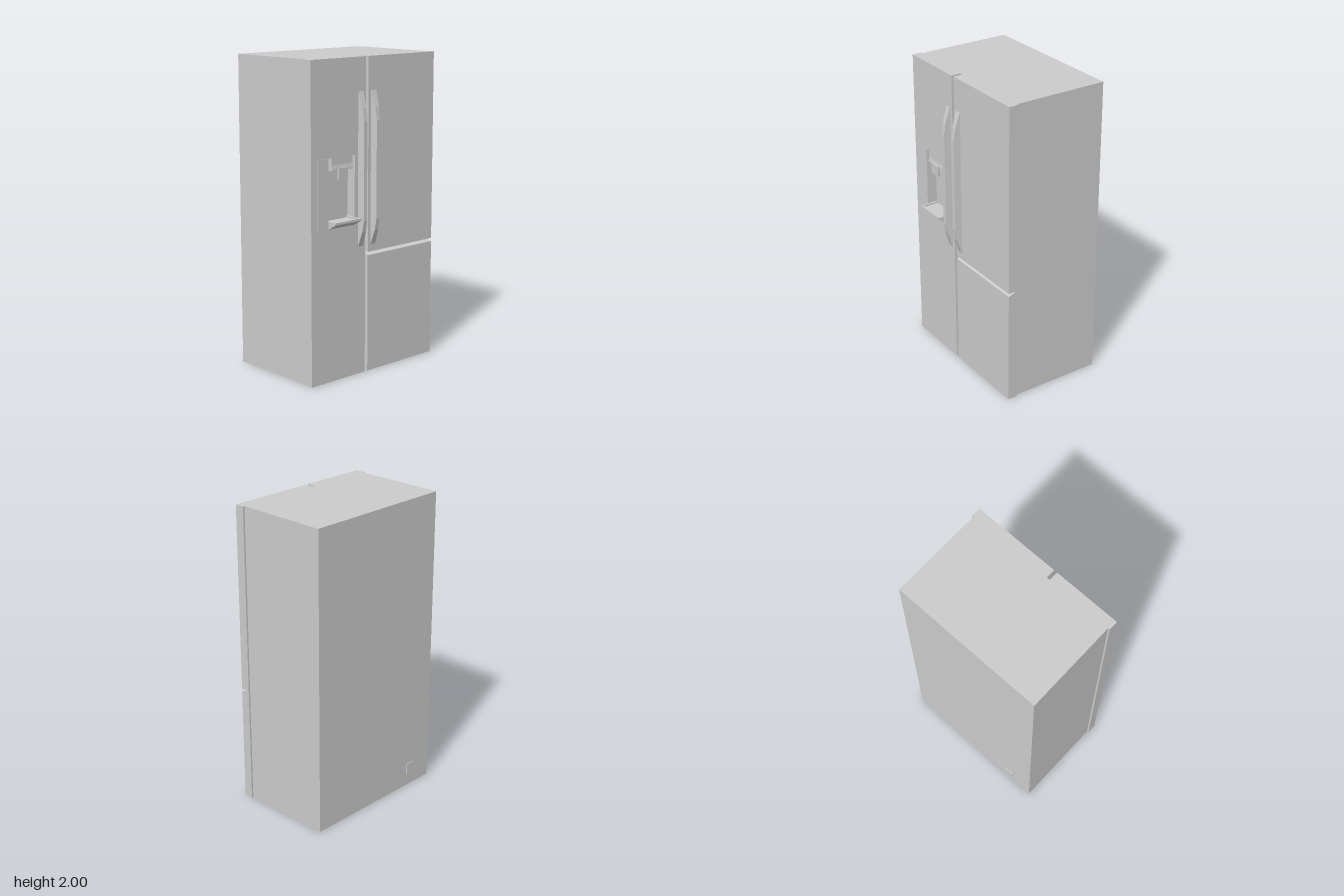
import * as THREE from 'three';

const FRONT = 0.313, SEAM = 0.25;

export function createModel() {
  const model = new THREE.Group();
  const grey = new THREE.MeshStandardMaterial({ color: 0xcccccc, flatShading: true });

  function add(name, geometry) {
    const mesh = new THREE.Mesh(geometry, grey);
    mesh.name = name;
    model.add(mesh);
    return mesh;
  }

  // Box given by its limits on each axis
  function box(name, x0, x1, y0, y1, z0, z1) {
    const g = new THREE.BoxGeometry(x1 - x0, y1 - y0, z1 - z0);
    g.translate((x0 + x1) / 2, (y0 + y1) / 2, (z0 + z1) / 2);
    return add(name, g);
  }

  const toPoints = (list) => list.map(([a, b]) => new THREE.Vector2(a, b));

  // Side profile of [z, y] points, swept from x0 to x1
  function sweepX(name, x0, x1, profile) {
    const g = new THREE.ExtrudeGeometry(new THREE.Shape(toPoints(profile)), { depth: x1 - x0, bevelEnabled: false });
    g.rotateY(-Math.PI / 2);
    g.translate(x1, 0, 0);
    return add(name, g);
  }

  // Cabinet and the small cover on its back
  box('cabinet', -0.518, 0.518, 0, 2, -0.372, SEAM);
  box('rearCover', -0.362, -0.302, 0.08, 0.16, -0.378, -0.372);

  // Tall door, with the dispenser opening cut through to the cabinet
  const door = new THREE.Shape(toPoints([[-0.53, 0], [-0.078, 0], [-0.078, 2], [-0.53, 2]]));
  door.holes.push(new THREE.Path(toPoints([
    [-0.39, 0.97], [-0.39, 1.405], [-0.365, 1.405], [-0.365, 1.325],
    [-0.19, 1.325], [-0.19, 1.405], [-0.17, 1.405], [-0.17, 0.97],
  ])));
  add('tallDoor', new THREE.ExtrudeGeometry(door, { depth: FRONT - SEAM, bevelEnabled: false }).translate(0, 0, SEAM));

  // Upper door, and lower door with a sloping finger groove along its top
  box('upperDoor', -0.055, 0.53, 0.778, 2, SEAM, FRONT);
  sweepX('lowerDoor', -0.055, 0.53, [[SEAM, 0], [FRONT, 0], [FRONT, 0.757], [0.268, 0.774], [0.268, 0.778], [SEAM, 0.778]]);

  // Dispenser: control panel, hood and paddle
  box('controlPanel', -0.482, -0.392, 0.97, 1.405, FRONT - 0.01, 0.317);
  sweepX('dispenserHood', -0.365, -0.19, [[0.3, 1.325], [0.318, 1.325], [0.318, 1.332], [FRONT, 1.36], [0.3, 1.36]]);
  box('dispenserPaddle', -0.316, -0.24, 1.27, 1.34, FRONT, 0.327);

  // Drip tray: sloping underside, with a raised rim round a shallow basin
  sweepX('dripTray', -0.388, -0.17, [[SEAM, 0.97], [FRONT, 0.97], [0.373, 1.004], [0.373, 1.008], [SEAM, 1.008]]);
  box('trayFrontRim', -0.388, -0.17, 1.008, 1.018, 0.361, 0.373);
  box('trayRightRim', -0.388, -0.376, 1.008, 1.018, SEAM, 0.361);
  box('trayLeftRim', -0.182, -0.17, 1.008, 1.018, SEAM, 0.361);

  // Door handles: solid grips, tapering to the front and sweeping into the door at both ends
  const rows = [[0.825, 0.314], [0.92, 0.345], [0.99, 0.357], [1.61, 0.357], [1.69, 0.345], [1.79, 0.314]];
  function handle(name, x) {
    const g = new THREE.BoxGeometry(1, 1, 1, 1, rows.length - 1, 1);
    const p = g.attributes.position;
    for (let i = 0; i < p.count; i++) {
      const [y, z] = rows[Math.round((p.getY(i) + 0.5) * (rows.length - 1))];
      const isFront = p.getZ(i) > 0;
      const width = isFront ? 0.044 - 0.37 * (z - FRONT) : 0.044;
      p.setXYZ(i, x + p.getX(i) * width, y, isFront ? z : FRONT - 0.005);
    }
    g.computeVertexNormals();
    add(name, g);
  }
  handle('tallDoorHandle', -0.12);
  handle('upperDoorHandle', -0.011);

  return model;
}
